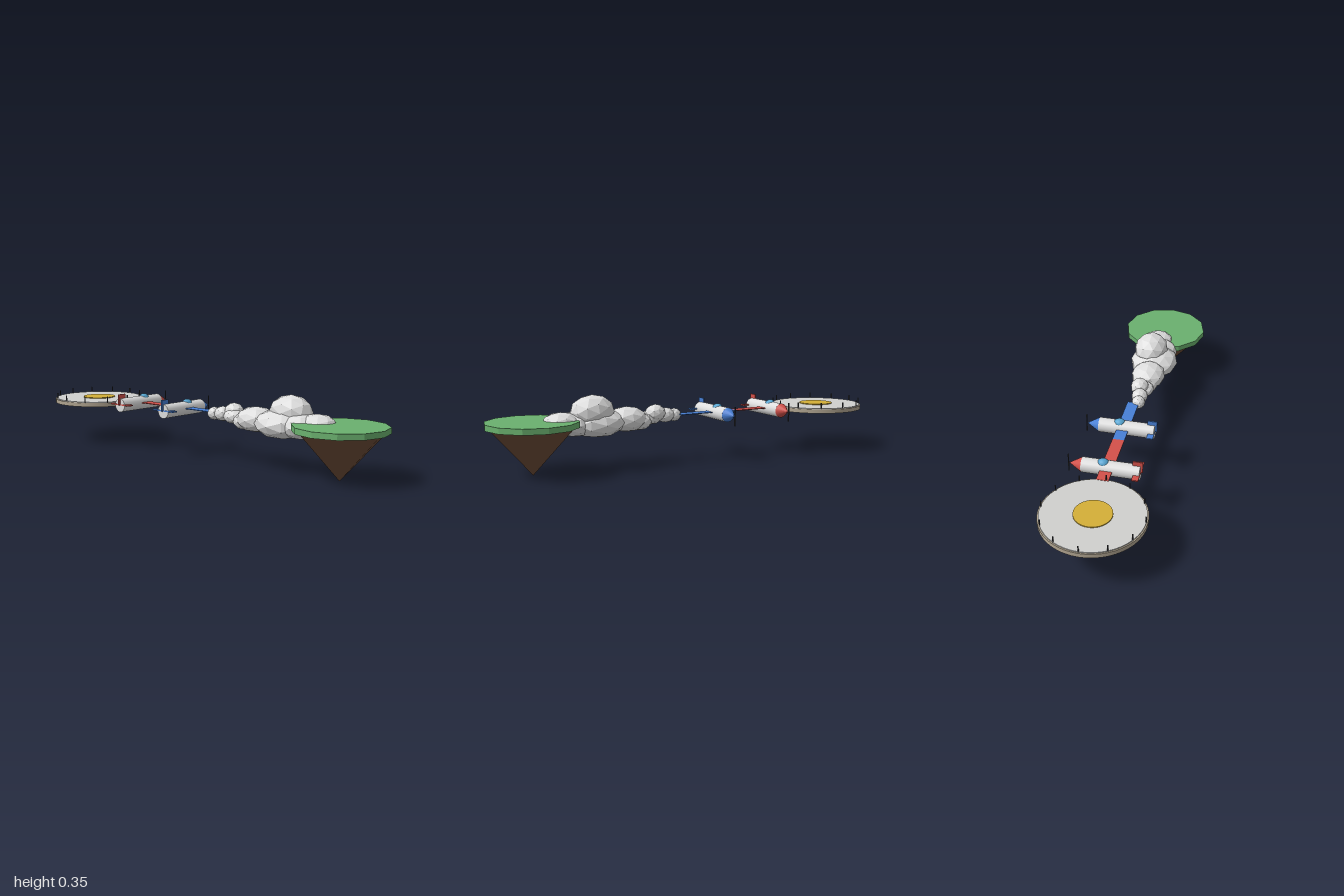
import * as THREE from 'three';

const paint = (name, color) => {
  const m = new THREE.MeshStandardMaterial({ color });
  m.name = name;
  return m;
};

// Gives every face its own normals for a faceted look
const faceted = (geo) => {
  const g = geo.index ? geo.toNonIndexed() : geo;
  g.computeVertexNormals();
  return g;
};

export function createModel() {
  const stone = paint('stone', 0xb0a490);
  const deckGrey = paint('deck grey', 0xd0d0ce);
  const gold = paint('gold', 0xd4af37);
  const dark = paint('dark metal', 0x3c3c40);
  const red = paint('red', 0xd2504a);
  const blue = paint('blue', 0x4880d6);
  const glass = paint('glass', 0x55a5d2);
  const pale = paint('pale grey', 0xdedede);
  const green = paint('grass green', 0x6ab06e);
  const brown = paint('earth brown', 0x6d4c38);

  const model = new THREE.Group();
  model.name = 'floatingCourse';
  const add = (parent, name, geo, mat, x = 0, y = 0, z = 0) => {
    const mesh = new THREE.Mesh(geo, mat);
    mesh.name = name;
    mesh.position.set(x, y, z);
    parent.add(mesh);
    return mesh;
  };
  const group = (name, x, y, z) => {
    const g = new THREE.Group();
    g.name = name;
    g.position.set(x, y, z);
    model.add(g);
    return g;
  };

  // Round platform with a gold centre and a ring of posts
  const platform = group('platform', -0.768, 0, 0);
  add(platform, 'platformBase', new THREE.CylinderGeometry(0.232, 0.232, 0.02, 48), stone, 0, 0.212);
  add(platform, 'platformDeck', new THREE.CylinderGeometry(0.226, 0.226, 0.005, 48), deckGrey, 0, 0.2235);
  add(platform, 'goldDisc', new THREE.CylinderGeometry(0.084, 0.084, 0.005, 32), gold, 0, 0.2275);
  const postGeo = new THREE.CylinderGeometry(0.003, 0.003, 0.032, 8);
  for (let i = 0; i < 12; i++) {
    const a = (i * Math.PI) / 6;
    add(platform, 'post', postGeo, dark, 0.224 * Math.cos(a), 0.237, 0.224 * Math.sin(a));
  }

  // Two-coloured track
  add(model, 'redTrack', new THREE.BoxGeometry(0.3, 0.004, 0.056), red, -0.4, 0.2255, -0.017);
  add(model, 'blueTrack', new THREE.BoxGeometry(0.31, 0.004, 0.056), blue, -0.095, 0.2255, -0.017);

  // Small aircraft, noses towards the back
  const bodyGeo = new THREE.CylinderGeometry(0.035, 0.035, 0.265, 16).rotateX(-Math.PI / 2);
  const noseGeo = new THREE.ConeGeometry(0.035, 0.06, 16).rotateX(-Math.PI / 2);
  const canopyGeo = new THREE.SphereGeometry(0.024, 16, 12).scale(1, 1, 1.2);
  const wingGeo = new THREE.BoxGeometry(0.134, 0.006, 0.03);
  const finGeo = new THREE.BoxGeometry(0.006, 0.056, 0.045);
  const bladeGeo = new THREE.BoxGeometry(0.006, 0.092, 0.004);
  const aircraft = (name, x, trim) => {
    const plane = group(name, x, 0.222, 0);
    add(plane, 'fuselage', bodyGeo, pale);
    add(plane, 'nose', noseGeo, trim, 0, 0, -0.162);
    add(plane, 'canopy', canopyGeo, glass, 0, 0.021, -0.036);
    add(plane, 'tailWing', wingGeo, trim, 0, 0.003, 0.12);
    add(plane, 'tailFin', finGeo, trim, 0, 0.028, 0.12);
    add(plane, 'propeller', bladeGeo, dark, 0, 0, -0.195);
  };
  aircraft('redAircraft', -0.455, red);
  aircraft('blueAircraft', -0.145, blue);

  // Cloud trail: centre x, y, z and radii x, y, z of each puff
  const puffs = [
    [0.075, 0.222, 0.005, 0.035, 0.032, 0.033],
    [0.125, 0.225, 0, 0.045, 0.036, 0.04],
    [0.185, 0.24, -0.012, 0.05, 0.042, 0.045],
    [0.2, 0.22, 0.005, 0.055, 0.035, 0.05],
    [0.265, 0.205, 0, 0.062, 0.042, 0.06],
    [0.33, 0.22, 0, 0.1, 0.06, 0.085],
    [0.48, 0.215, 0, 0.135, 0.068, 0.122],
    [0.51, 0.27, -0.022, 0.105, 0.078, 0.086],
    [0.59, 0.215, 0.005, 0.09, 0.058, 0.095],
    [0.66, 0.23, -0.017, 0.085, 0.047, 0.08],
  ];
  const cloud = group('cloudTrail', 0, 0, 0);
  const puffGeo = faceted(new THREE.IcosahedronGeometry(1, 1));
  for (const [x, y, z, rx, ry, rz] of puffs) {
    add(cloud, 'puff', puffGeo, pale, x, y, z).scale.set(rx, ry, rz);
  }

  // Floating island
  const island = group('floatingIsland', 0.789, 0, 0);
  add(island, 'grass', faceted(new THREE.CylinderGeometry(0.212, 0.212, 0.027, 12)), green, 0, 0.2285);
  add(island, 'earth', faceted(new THREE.ConeGeometry(0.192, 0.216, 12).rotateX(Math.PI)), brown, 0, 0.108);

  return model;
}
